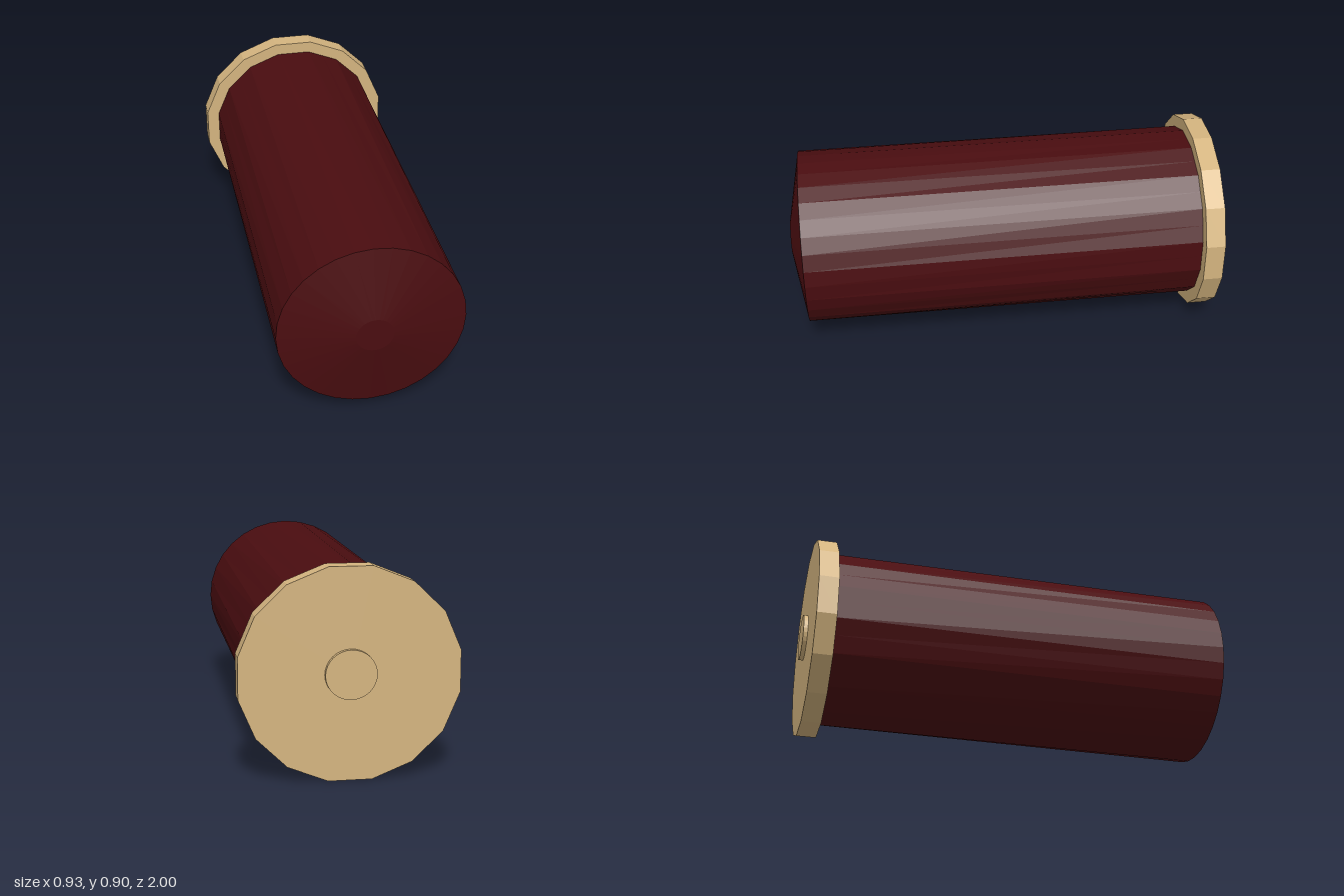
import * as THREE from 'three';

const SIDES = 16;
const AXIS_Y = 0.45;
const WIDEN = 1.033; // cross-section is slightly wider than tall

export function createModel() {
  const group = new THREE.Group();
  const red = new THREE.MeshStandardMaterial({ color: 0x4a0d10, flatShading: true });
  const brass = new THREE.MeshStandardMaterial({ color: 0xd4b47f, flatShading: true });

  // Lay a y-axis solid along z and lift it to the common axis
  const add = (name, geometry, material, y = AXIS_Y) => {
    geometry.rotateX(Math.PI / 2).scale(WIDEN, 1, 1).translate(0, y, 0);
    const mesh = new THREE.Mesh(geometry, material);
    mesh.name = name;
    group.add(mesh);
  };

  // Tube: 16 sides at the rim, opening to a 32-sided mouth with a shallow cone end
  const profile = [[0.401, -0.9], [0.401, 0.94], [0.08, 1], [0, 1]]
    .map(([r, h]) => new THREE.Vector2(r, h));
  const tube = new THREE.LatheGeometry(profile, SIDES * 2);
  const pos = tube.attributes.position;
  for (let i = 0; i <= SIDES * 2; i += 2) {
    // every other rear vertex drops onto the chord of its neighbours
    const v = i * profile.length;
    const k = Math.cos(Math.PI / SIDES);
    pos.setXYZ(v, pos.getX(v) * k, pos.getY(v), pos.getZ(v) * k);
  }
  tube.computeVertexNormals();
  add('tube', tube, red, AXIS_Y + 0.002);

  // Flat-sided base rim
  const rim = new THREE.CylinderGeometry(0.459, 0.459, 0.09, SIDES, 1, false, Math.PI / SIDES);
  add('baseRim', rim.translate(0, -0.935, 0), brass);

  // Small raised disc in the middle of the base
  const disc = new THREE.CylinderGeometry(0.105, 0.105, 0.03, SIDES * 2);
  add('baseButton', disc.translate(0, -0.985, 0), brass, AXIS_Y + 0.004);

  return group;
}
